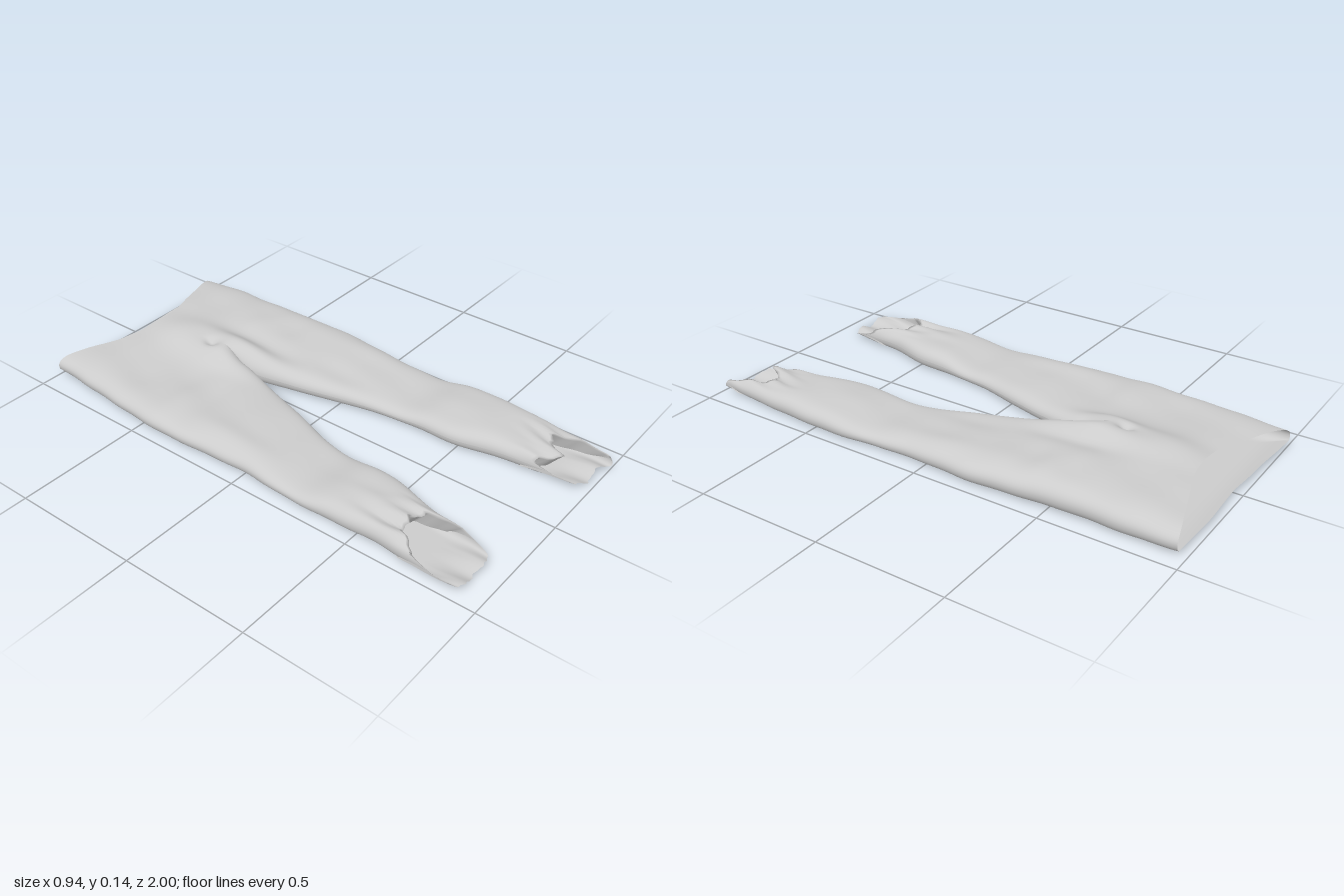
import * as THREE from 'three';

const CROTCH = -0.36;
const { lerp, smoothstep, clamp } = THREE.MathUtils;

// smooth curve through evenly spaced values, u in 0..1
function curve(values, u) {
  const n = values.length - 1;
  const f = clamp(u, 0, 1) * n, i = Math.min(Math.floor(f), n - 1), t = f - i;
  const p = k => values[clamp(k, 0, n)];
  const a = p(i - 1), b = p(i), c = p(i + 1), d = p(i + 2);
  return b + 0.5 * t * (c - a + t * (2 * a - 5 * b + 4 * c - d + t * (3 * (b - c) + d - a)));
}

// outer/inner: half widths along the leg, height: cloth top along z,
// waist/hem: where the front (upper) and back (lower) layers start and stop, from inside to outside
const LEFT = {
  side: 1,
  outer: [.44, .452, .447, .458, .468, .452, .45, .468, .458, .437, .415],
  inner: [.01, .05, .095, .138, .155, .153, .19, .207, .21],
  height: [.09, .106, .111, .108, .096, .082, .068, .08, .084, .075, .07],
  waistTop: [-.86, -.87, -.905, -.94, -.97], waistBack: [-.97, -.975, -.98, -.975, -.97],
  hemTop: [.78, .87, .8, .81, .98], hemBack: [.95, .975, .97, .975, 1]
};
const RIGHT = {
  side: -1,
  outer: [.41, .43, .45, .465, .457, .445, .455, .457, .45, .468, .46],
  inner: [-.01, .035, .085, .14, .165, .178, .23, .25, .28],
  height: [.085, .092, .09, .088, .086, .078, .064, .084, .084, .075, .05],
  waistTop: [-.86, -.865, -.91, -.955, -1], waistBack: [-.97, -.98, -.985, -.995, -1],
  hemTop: [.8, .68, .65, .66, .74], hemBack: [.9, .92, .91, .92, .91]
};

// folds and hollows: x, z, radius x, radius z, amount
const FRONT_FOLDS = [
  [.06, -.44, .055, .17, .031], [-.03, -.46, .055, .14, .035], [0, -.7, .1, .15, .022],
  [0, -.55, .022, .03, -.02], [.14, -.4, .05, .22, -.014], [.19, -.05, .05, .2, -.007],
  [.24, -.52, .08, .05, .006], [.33, -.45, .08, .05, .006], [.31, -.37, .1, .05, -.006],
  [-.2, -.5, .1, .25, -.008], [-.3, -.62, .1, .08, -.009], [-.28, -.41, .15, .05, .005],
  [-.25, -.32, .15, .05, -.005], [0, .27, 1, .08, -.009], [-.39, .58, .025, .1, -.014],
  [-.33, .52, .03, .12, .007], [.38, -.08, .05, .2, .007], [-.37, -.08, .05, .2, .008],
  [.32, .48, .07, .12, .007]
];
const BACK_FOLDS = [
  [0, -.42, .07, .1, .02], [0, -1.02, 1, .07, .028], [.12, -.55, .08, .04, .005],
  [-.12, -.55, .08, .04, .005], [-.3, .42, .1, .05, .008], [.3, .48, .1, .05, .008]
];

const folds = (list, x, z) => list.reduce((sum, [fx, fz, rx, rz, amount]) =>
  sum + amount * Math.exp(-(((x - fx) / rx) ** 2) - ((z - fz) / rz) ** 2), 0);

function topHeight(x, z) {
  const u = (z + 1) / 2;
  const h = lerp(curve(RIGHT.height, u), curve(LEFT.height, u), smoothstep(x, -.1, .1));
  return h + folds(FRONT_FOLDS, x, z) + .0018 * Math.sin(z * 19 + x * 13) * Math.sin(x * 24 - z * 7);
}

// one half of the garment: half of the hips running on into a leg,
// whose front layer tucks down inside the hem
function trouserHalf(d) {
  const around = 72, hipRows = 36, legRows = 80, tuckRows = 6, rows = hipRows + legRows + tuckRows;
  const pos = [], index = [];
  for (let i = 0; i <= rows; i++) {
    const tuck = Math.max(0, i - hipRows - legRows) / tuckRows;
    for (let j = 0; j <= around; j++) {
      const a = -Math.PI + 2 * Math.PI * j / around;
      const t = Math.cos(a), s = (t + 1) / 2, top = a > 0;
      const blend = smoothstep(Math.sin(a), -.3, .3);
      const waistBlend = t < 0 ? (top ? 1 : 0) : blend;
      const waist = lerp(curve(d.waistBack, s), curve(d.waistTop, s), waistBlend);
      const ragged = .006 * Math.sin(s * 25 + d.side) + .005 * Math.sin(s * 47);
      const hem = Math.min(1, lerp(curve(d.hemBack, s) + ragged * .4, curve(d.hemTop, s) + ragged, blend));
      const v = i <= hipRows ? i / hipRows : Math.min(1, (i - hipRows) / legRows);
      const z = (i <= hipRows ? lerp(waist, CROTCH, v) : lerp(CROTCH, hem, v)) - tuck * blend * .06;

      // width across, with the hips meeting at the centre seam
      const inner = z < CROTCH ? d.inner[0] : curve(d.inner, (z - CROTCH) / (1 - CROTCH));
      const outer = curve(d.outer, (z + 1) / 2) + .0015 * Math.sin(z * 34 + d.side * 2);
      const x = d.side * lerp(inner, outer, s);

      // flattened section: rounded outside, rounded inside only below the crotch
      const round = Math.sqrt(Math.max(0, 1 - Math.abs(t) ** (top ? 5 : 9)));
      const full = t < 0 ? lerp(1, round, smoothstep(z, -.5, CROTCH)) : round;
      const h = topHeight(x, z), seam = h * .45;
      let y = top ? lerp(seam, h, full)
        : Math.max(seam * (1 - Math.min(1, full * 1.04)), folds(BACK_FOLDS, x, z));

      // crumpled hem, the back layer curling up a little at its edge
      if (i > hipRows) {
        y += top
          ? smoothstep(v, .85, 1) * .007 * Math.sin(s * 20 + z * 25) * round
          : smoothstep(v, .86, 1) * (.014 + .01 * Math.sin(s * 10 + d.side)) * round;
      }
      y = lerp(y, .008, tuck * blend);
      pos.push(x, Math.max(0, y), z);
    }
  }
  const w = around + 1;
  for (let i = 0; i < rows; i++) {
    for (let j = 0; j < around; j++) {
      const a = i * w + j, b = a + 1, c = a + w, e = c + 1;
      if (d.side > 0) index.push(a, b, c, b, e, c);
      else index.push(a, c, b, b, c, e);
    }
  }
  const g = new THREE.BufferGeometry();
  g.setAttribute('position', new THREE.Float32BufferAttribute(pos, 3));
  g.setIndex(index);
  g.computeVertexNormals();
  return g;
}

export function createModel() {
  const group = new THREE.Group();
  group.name = 'trousers';
  const cloth = new THREE.MeshStandardMaterial({ color: 0xcccccc, side: THREE.DoubleSide });
  for (const [name, data] of [['leftTrouserLeg', LEFT], ['rightTrouserLeg', RIGHT]]) {
    const mesh = new THREE.Mesh(trouserHalf(data), cloth);
    mesh.name = name;
    group.add(mesh);
  }
  return group;
}
